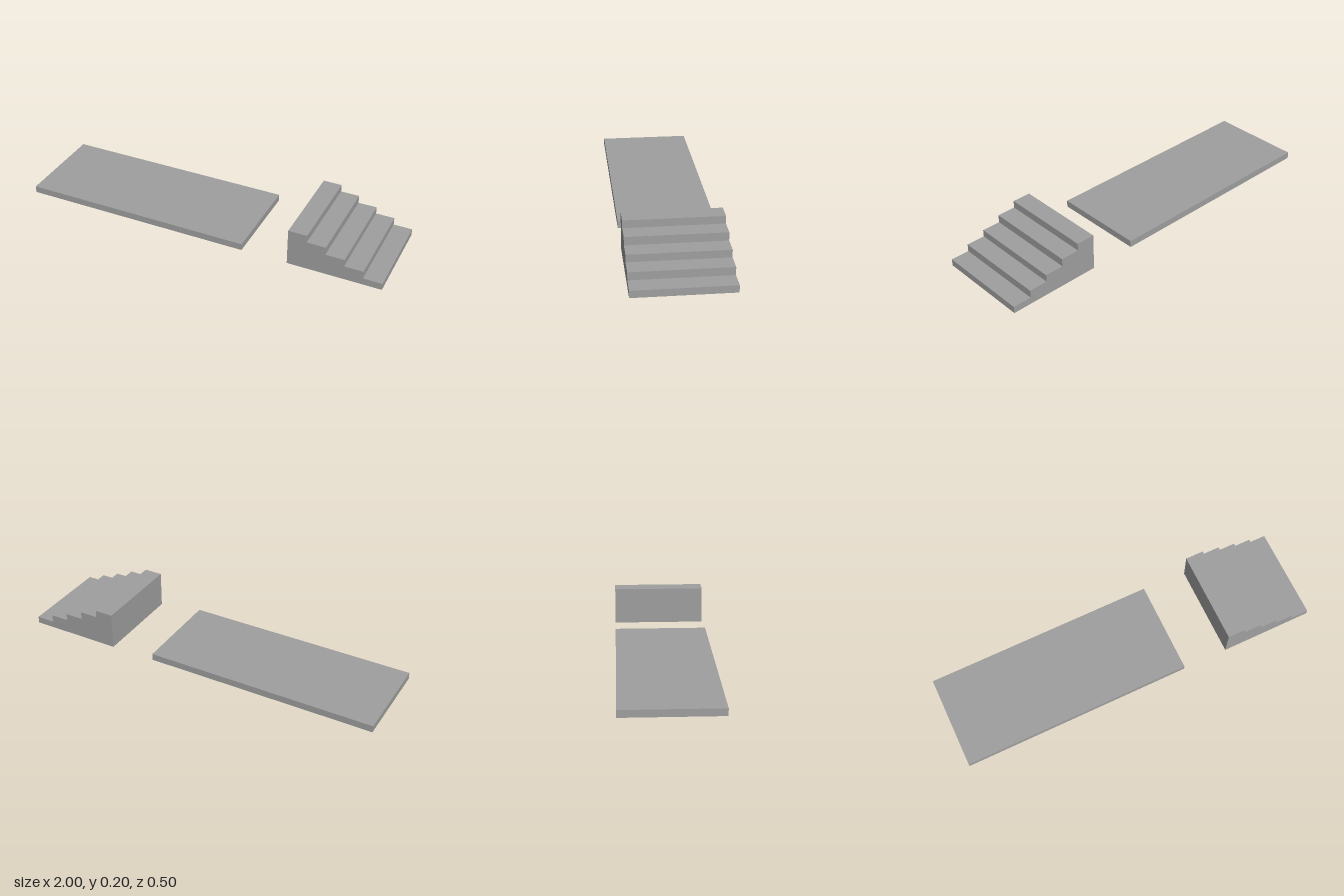
import * as THREE from 'three';

const DEPTH = 0.5;

export function createModel() {
  const group = new THREE.Group();
  const grey = new THREE.MeshStandardMaterial({ color: 0xa0a0a0 });
  grey.name = 'concrete grey';

  // Flat platform slab
  const slabHeight = 0.037;
  const slab = new THREE.Mesh(new THREE.BoxGeometry(1.25, slabHeight, DEPTH), grey);
  slab.name = 'platform';
  slab.position.set(-0.375, slabHeight / 2, 0);
  group.add(slab);

  // Solid staircase: stepped side profile, rising towards -x
  const heights = [0.037, 0.078, 0.117, 0.16, 0.2];
  const tread = 0.1;
  const profile = new THREE.Shape();
  profile.moveTo(0.5, 0);
  profile.lineTo(1, 0);
  heights.forEach((h, i) => {
    profile.lineTo(1 - i * tread, h);
    profile.lineTo(1 - (i + 1) * tread, h);
  });
  profile.closePath();
  const stairs = new THREE.Mesh(
    new THREE.ExtrudeGeometry(profile, { depth: DEPTH, bevelEnabled: false }), grey);
  stairs.name = 'staircase';
  stairs.position.z = -DEPTH / 2;
  group.add(stairs);

  return group;
}
